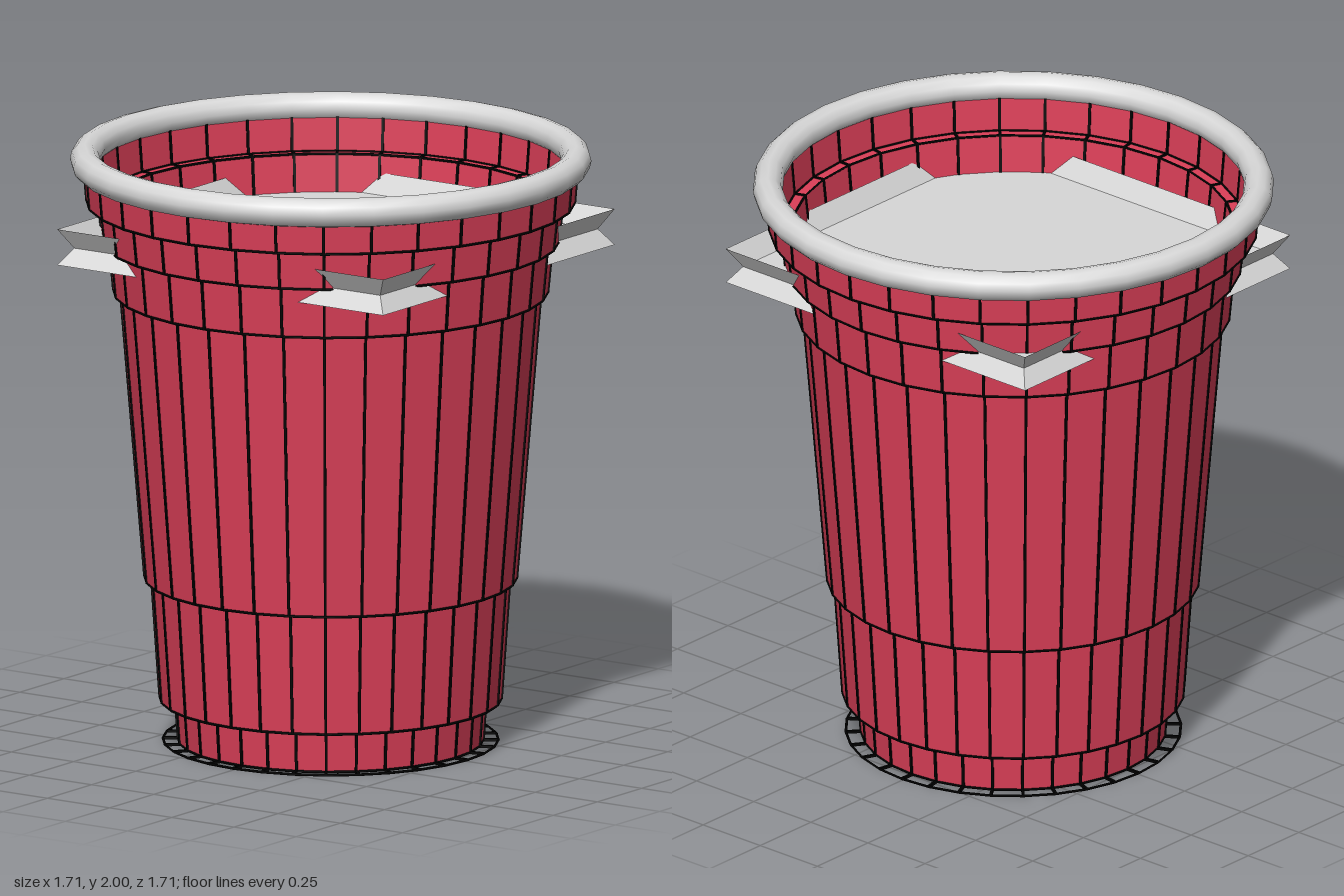
import * as THREE from 'three';
import { mergeGeometries } from 'three/addons/utils/BufferGeometryUtils.js';

const SIDES = 32;
const LINE = 0.009;

// Stepped outer wall, as [radius, height]
const OUTER = [
  [0.5, 0.006], [0.51, 0.145], [0.56, 0.145], [0.588, 0.55], [0.61, 0.55],
  [0.69, 1.51], [0.712, 1.51], [0.728, 1.68], [0.748, 1.68],
  [0.762, 1.81], [0.8, 1.81], [0.81, 1.93],
];
const WALL = 0.04;
const INNER = OUTER.map(([r, y]) => [r - WALL, y]);

function flat(geometry) {
  const g = geometry.toNonIndexed();
  g.computeVertexNormals();
  return g;
}

// Thin bars along a profile, repeated at every corner of the round wall
function seamBars(profile) {
  const bars = [];
  for (let i = 0; i < profile.length - 1; i++) {
    const [r0, y0] = profile[i];
    const [r1, y1] = profile[i + 1];
    const length = Math.hypot(r1 - r0, y1 - y0);
    for (let k = 0; k < SIDES; k++) {
      const bar = new THREE.BoxGeometry(LINE, length, LINE);
      bar.rotateX(Math.atan2(r1 - r0, y1 - y0));
      bar.translate(0, (y0 + y1) / 2, (r0 + r1) / 2);
      bar.rotateY((k / SIDES) * Math.PI * 2);
      bars.push(bar);
    }
  }
  return bars;
}

// Thin hoop with the same corners as the wall
function hoop(radius, y) {
  const g = new THREE.TorusGeometry(radius, LINE / 2, 4, SIDES);
  g.rotateX(Math.PI / 2);
  g.translate(0, y, 0);
  return g;
}

// Four sloping sides between two squares
function squareFlare(topHalf, bottomHalf, y0, y1) {
  const g = new THREE.CylinderGeometry(
    topHalf * Math.SQRT2, bottomHalf * Math.SQRT2, y1 - y0, 4, 1, true);
  g.rotateY(Math.PI / 4);
  g.translate(0, (y0 + y1) / 2, 0);
  return flat(g);
}

export function createModel() {
  const model = new THREE.Group();
  model.name = 'cup';

  const red = new THREE.MeshStandardMaterial({ color: 0xdc3f58, side: THREE.DoubleSide });
  red.name = 'red plastic';
  const grey = new THREE.MeshStandardMaterial({ color: 0xd8d8d8, side: THREE.DoubleSide });
  grey.name = 'pale grey';
  const black = new THREE.MeshStandardMaterial({ color: 0x000000 });
  black.name = 'black line';

  const add = (name, geometry, material, parent = model) => {
    const mesh = new THREE.Mesh(geometry, material);
    mesh.name = name;
    parent.add(mesh);
    return mesh;
  };

  // Hollow wall: up the outside, down the inside, closed at the foot
  const loop = [...OUTER, ...[...INNER].reverse(), OUTER[0]];
  const wall = new THREE.LatheGeometry(loop.map(([r, y]) => new THREE.Vector2(r, y)), SIDES);
  add('wall', flat(wall), red);

  // Rolled rim
  const rim = new THREE.TorusGeometry(0.806, 0.049, 12, SIDES);
  rim.rotateX(Math.PI / 2);
  rim.translate(0, 1.951, 0);
  add('rim', rim, grey);

  // Dark lines along every edge of the wall
  const hoops = (profile) => profile.slice(0, -1).map(([r, y]) => hoop(r, y));
  add('outerLines', mergeGeometries([...seamBars(OUTER), ...hoops(OUTER)]), black);
  add('innerLines', mergeGeometries([...seamBars(INNER), ...hoops(INNER)]), black);

  // Open line ring around the foot
  const y = LINE / 2 + 0.002;
  add('footLines', mergeGeometries([...seamBars([[0.5, y], [0.55, y]]), hoop(0.55, y)]), black);

  // Square sheet inside, with edges flaring up and down through the wall
  const sheet = new THREE.Group();
  sheet.name = 'squareSheet';
  sheet.position.set(0.0125, 0, -0.0125);
  model.add(sheet);
  const floor = new THREE.PlaneGeometry(1.23, 1.23);
  floor.rotateX(-Math.PI / 2);
  floor.translate(0, 1.685, 0);
  add('sheetFloor', floor, grey, sheet);
  add('upperEdge', squareFlare(0.655, 0.615, 1.685, 1.75), grey, sheet);
  add('lowerEdge', squareFlare(0.615, 0.655, 1.63, 1.685), grey, sheet);

  return model;
}
